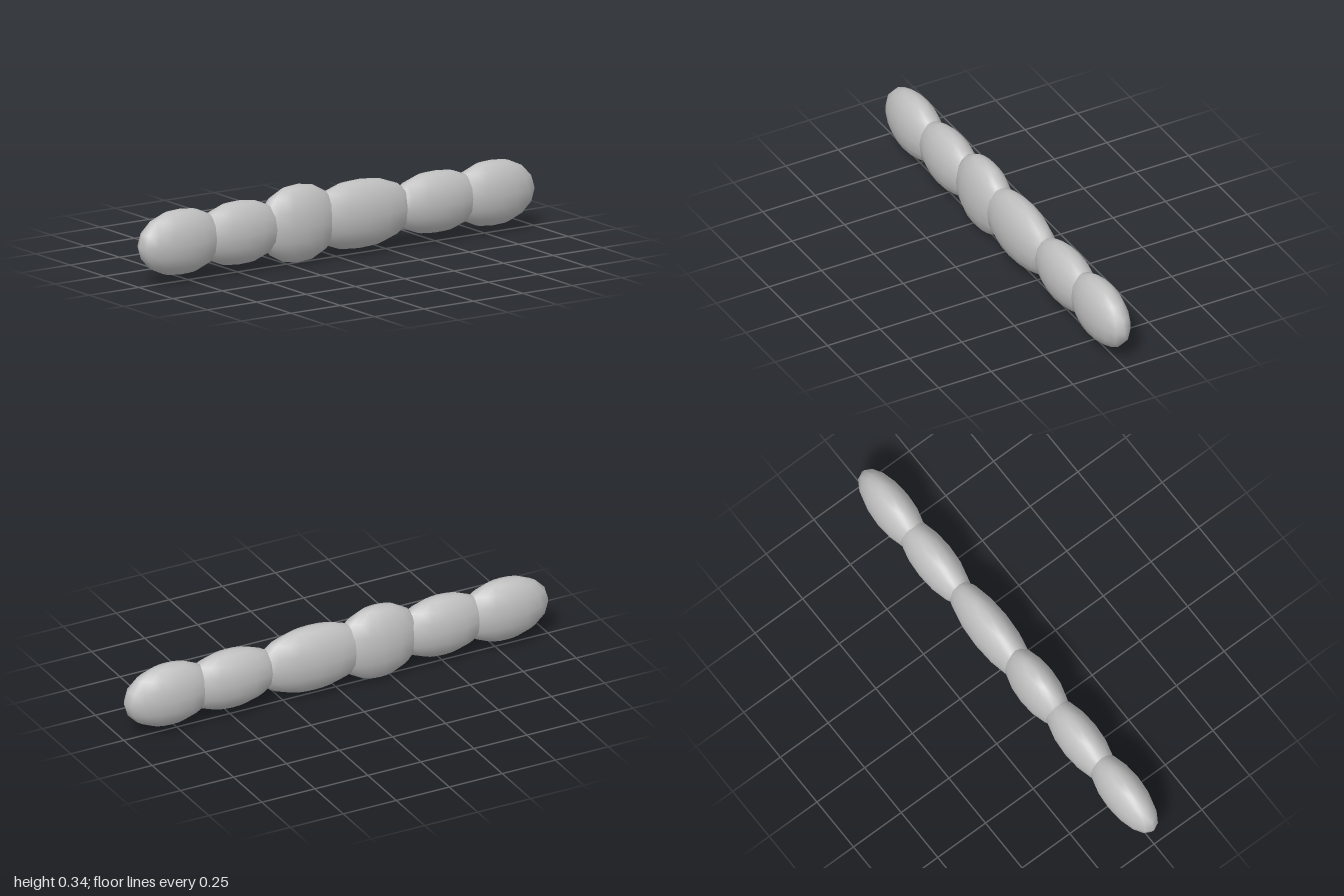
import * as THREE from 'three';

// Chain of overlapping flattened ellipsoids along x: [name, centre x, radius x, radius y, radius z]
const SEGMENTS = [
  ['rightEndSegment', -0.79, 0.21, 0.141, 0.085],
  ['rightSegment', -0.495, 0.22, 0.137, 0.085],
  ['tallSegment', -0.195, 0.20, 0.168, 0.086],
  ['longSegment', 0.115, 0.275, 0.148, 0.086],
  ['leftSegment', 0.5, 0.23, 0.133, 0.085],
  ['leftEndSegment', 0.788, 0.21, 0.141, 0.085],
];
const CENTRE_Y = 0.171;

export function createModel() {
  const group = new THREE.Group();
  group.name = 'segmentedBar';
  const grey = new THREE.MeshStandardMaterial({ color: 0xc0c0c0 });
  grey.name = 'grey';

  for (const [name, x, rx, ry, rz] of SEGMENTS) {
    const geometry = new THREE.SphereGeometry(1, 16, 8);
    geometry.scale(rx, ry, rz); // also corrects the normals
    const mesh = new THREE.Mesh(geometry, grey);
    mesh.name = name;
    mesh.position.set(x, CENTRE_Y, 0);
    group.add(mesh);
  }
  return group;
}
